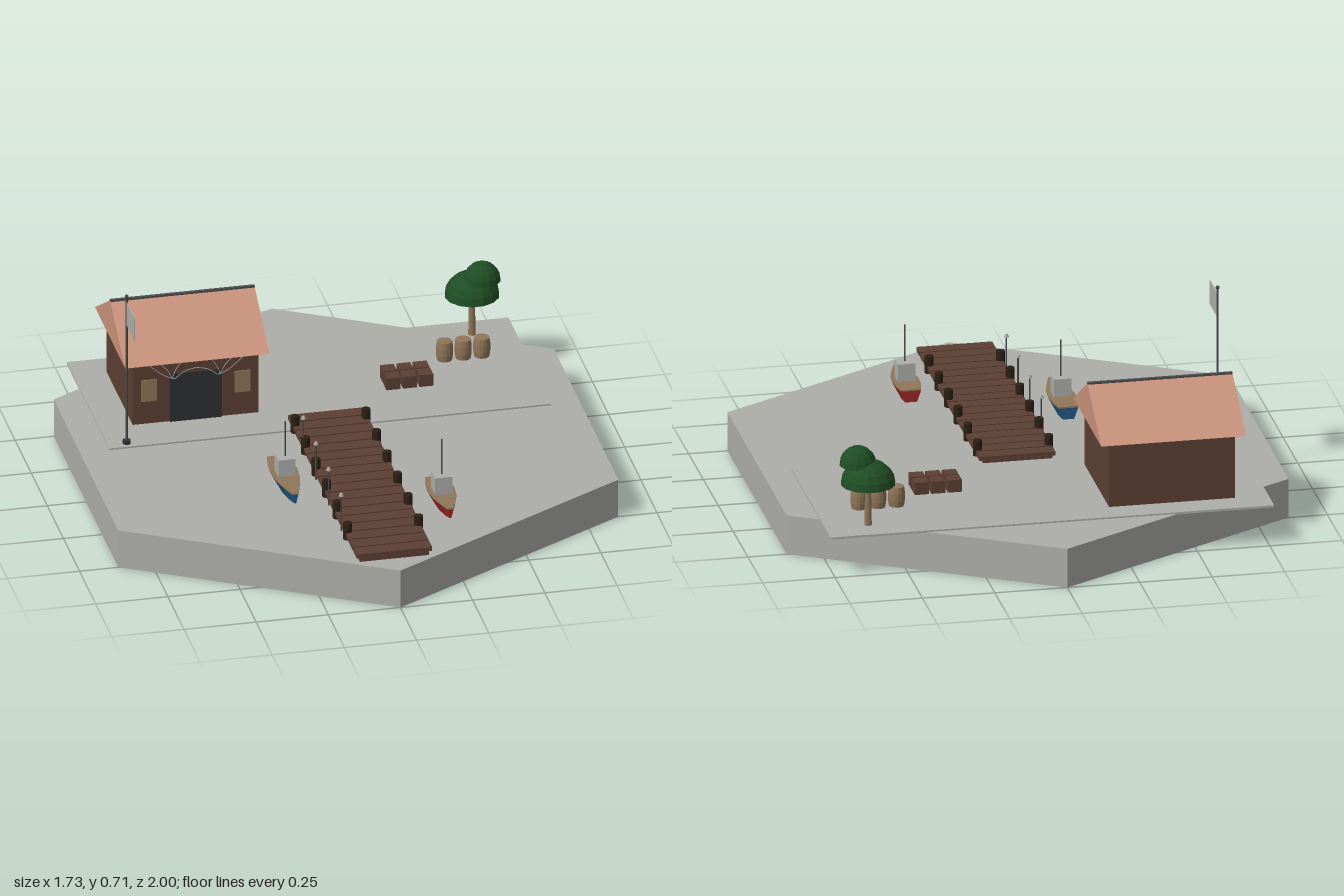
import * as THREE from 'three';

const mat = (name, color, extra = {}) => Object.assign(new THREE.MeshStandardMaterial({ color, ...extra }), { name });
const M = {
  stone: mat('stoneGrey', 0xadaea9),
  timber: mat('timberBrown', 0x5c4033),
  dark: mat('darkTimber', 0x2b2014),
  tan: mat('paleWood', 0x8f7658),
  roof: mat('terracotta', 0xc8927b),
  charcoal: mat('charcoal', 0x2e2f32),
  iron: mat('iron', 0x4a4c4c),
  green: mat('leafGreen', 0x1f4d24),
  blue: mat('hullBlue', 0x1f5a82),
  red: mat('hullRed', 0x9a2626),
};
const GROUND = 0.14, QUAY = 0.146;

function facet(geo) {
  const g = geo.index ? geo.toNonIndexed() : geo;
  g.computeVertexNormals();
  return g;
}

function add(parent, name, geo, material, x = 0, y = 0, z = 0) {
  const m = new THREE.Mesh(geo, material);
  m.name = name;
  m.position.set(x, y, z);
  parent.add(m);
  return m;
}

// Box and post standing on height y
const box = (p, name, material, w, h, d, x, y, z) =>
  add(p, name, new THREE.BoxGeometry(w, h, d), material, x, y + h / 2, z);
const post = (p, name, material, r, h, x, y, z, sides = 10) =>
  add(p, name, new THREE.CylinderGeometry(r, r, h, sides), material, x, y + h / 2, z);

function group(parent, name, x = 0, y = 0, z = 0) {
  const g = new THREE.Group();
  g.name = name;
  g.position.set(x, y, z);
  parent.add(g);
  return g;
}

function buildHouse(root) {
  const g = group(root, 'boathouse', -0.432, QUAY, -0.45);
  box(g, 'walls', M.timber, 0.435, 0.236, 0.41, 0, 0, 0);

  // Solid gabled roof with a ridge strip
  const gable = new THREE.Shape([[-0.235, 0.232], [0.235, 0.232], [0, 0.374]].map(p => new THREE.Vector2(...p)));
  const roof = new THREE.ExtrudeGeometry(gable, { depth: 0.5, bevelEnabled: false });
  roof.rotateY(Math.PI / 2).translate(-0.25, 0, 0);
  add(g, 'roof', roof, M.roof);
  box(g, 'ridgeCap', M.iron, 0.5, 0.008, 0.012, 0, 0.369, 0);

  // Door and windows on the front wall
  box(g, 'door', M.charcoal, 0.18, 0.18, 0.008, 0, 0, 0.207);
  for (const s of [-1, 1]) box(g, 'window', M.tan, 0.055, 0.08, 0.006, s * 0.162, 0.085, 0.206);

  // Netting strung under the eave
  const net = group(g, 'hangingNet', 0, 0, 0.217);
  for (const s of [-1, 1]) {
    const lines = [
      [[0.17, 0.23], [0.11, 0.18], [0.075, 0.165]],
      [[0.075, 0.165], [0.04, 0.19], [0, 0.2]],
      [[0.13, 0.23], [0.1, 0.2], [0.085, 0.17]],
      [[0.05, 0.23], [0.07, 0.2], [0.085, 0.165]],
    ];
    for (const l of lines) {
      const curve = new THREE.CatmullRomCurve3(l.map(([x, y]) => new THREE.Vector3(s * x, y, 0)));
      add(net, 'netLine', new THREE.TubeGeometry(curve, 8, 0.0014, 4), M.stone);
    }
  }
}

function buildDock(root) {
  const g = group(root, 'dock');
  box(g, 'dockBeams', M.timber, 0.24, 0.016, 1.07, 0, GROUND, 0.372);
  const n = 18, pitch = 1.075 / n;
  for (let i = 0; i < n; i++)
    box(g, 'plank', M.timber, 0.262, 0.014, pitch - 0.008, 0, 0.154, -0.165 + pitch * (i + 0.5));

  // Mooring posts along both edges
  for (let i = 0; i < 6; i++)
    for (const s of [-1, 1]) post(g, 'mooringPost', M.dark, 0.015, 0.062, s * 0.123, GROUND, -0.085 + i * 0.163);

  // Lamps on the left-hand edge
  for (let i = 0; i < 4; i++) {
    const z = 0.08 + i * 0.196;
    post(g, 'lampPole', M.iron, 0.003, 0.135, -0.131, GROUND, z, 6);
    add(g, 'lampHead', new THREE.CylinderGeometry(0.005, 0.009, 0.01, 8), M.stone, -0.131, 0.278, z);
  }
}

function buildBoat(root, name, material, x, zStern, length) {
  const g = group(root, name, x, 0, zStern);
  const top = 0.19;
  // Stations from stern to bow: position along, deck half width, keel half width, keel height
  const stations = [
    [0, 0.034, 0.02, 0.15], [0.18, 0.043, 0.024, 0.146], [0.4, 0.047, 0.024, 0.146],
    [0.62, 0.041, 0.02, 0.146], [0.85, 0.024, 0.01, 0.15], [1, 0.01, 0.003, 0.158],
  ];
  const pos = [], idx = [];
  stations.forEach(([t, a, b, y], i) => {
    const z = t * length;
    pos.push(-a, top, z, -b, y, z, b, y, z, a, top, z);
    if (i === stations.length - 1) return;
    for (let j = 0; j < 3; j++) {
      const k = i * 4 + j;
      idx.push(k, k + 1, k + 4, k + 1, k + 5, k + 4);
    }
  });
  const e = (stations.length - 1) * 4;
  idx.push(0, 2, 1, 0, 3, 2, e, e + 1, e + 2, e, e + 2, e + 3);
  const hull = new THREE.BufferGeometry();
  hull.setAttribute('position', new THREE.Float32BufferAttribute(pos, 3));
  hull.setIndex(idx);
  add(g, 'hull', facet(hull), material);

  // Deck follows the hull outline
  const right = stations.map(([t, a]) => new THREE.Vector2(a, t * length));
  const left = stations.map(([t, a]) => new THREE.Vector2(-a, t * length)).reverse();
  const deck = new THREE.ExtrudeGeometry(new THREE.Shape([...right, ...left]), { depth: 0.005, bevelEnabled: false });
  deck.rotateX(Math.PI / 2);
  add(g, 'deck', deck, M.tan, 0, top + 0.005, 0);

  const mid = length * 0.445;
  box(g, 'cabin', M.stone, 0.06, 0.063, 0.06, 0, 0.195, mid);
  post(g, 'mast', M.iron, 0.0025, 0.135, 0, 0.255, mid, 6);
}

function buildTree(root) {
  const g = group(root, 'tree', 0.617, QUAY, -0.655);
  add(g, 'trunk', new THREE.CylinderGeometry(0.009, 0.013, 0.2, 8), M.tan, 0, 0.1, 0);
  for (const [r, h, x, y, z] of [[0.094, 0.085, 0, 0.149, 0], [0.063, 0.066, 0.031, 0.213, 0.02]]) {
    const dome = new THREE.SphereGeometry(r, 14, 5, 0, Math.PI * 2, 0, Math.PI / 2);
    add(g, 'foliage', facet(dome.scale(1, h / r, 1)), M.green, x, y, z);
    add(g, 'foliageUnderside', new THREE.CircleGeometry(r, 14).rotateX(Math.PI / 2), M.green, x, y, z);
  }
}

function buildCargo(root) {
  const g = group(root, 'cargo', 0, QUAY, 0);
  for (let i = 0; i < 3; i++) {
    for (const z of [-0.389, -0.333]) {
      const x = 0.268 + i * 0.057;
      box(g, 'crate', M.timber, 0.048, 0.044, 0.048, x, 0, z);
    }
    // Barrel with a slight bulge
    const profile = [[0, 0], [0.026, 0], [0.029, 0.022], [0.029, 0.048], [0.026, 0.07], [0, 0.07]];
    const barrel = new THREE.LatheGeometry(profile.map(p => new THREE.Vector2(...p)), 14);
    add(g, 'barrel', facet(barrel), M.tan, 0.486 + i * 0.0645, 0, -0.493);
  }
}

function buildFlag(root) {
  const g = group(root, 'flagpole', -0.699, QUAY, -0.117);
  post(g, 'poleBase', M.charcoal, 0.014, 0.012, 0, 0, 0, 12);
  post(g, 'pole', M.iron, 0.004, 0.555, 0, 0, 0, 8);
  add(g, 'poleCap', new THREE.SphereGeometry(0.007, 8, 6), M.iron, 0, 0.556, 0);
  box(g, 'flag', M.stone, 0.003, 0.085, 0.122, 0, 0.45, 0.063);
}

export function createModel() {
  const root = new THREE.Group();
  root.name = 'harbour';

  // Hexagonal base and the thin quay slab lying on it
  add(root, 'hexBase', facet(new THREE.CylinderGeometry(1, 1, GROUND, 6)), M.stone, 0, GROUND / 2, 0);
  box(root, 'quaySlab', M.stone, 1.53, QUAY - GROUND + 0.002, 0.66, 0, GROUND - 0.002, -0.42);

  buildHouse(root);
  buildDock(root);
  buildBoat(root, 'blueBoat', M.blue, -0.245, 0.178, 0.29);
  buildBoat(root, 'redBoat', M.red, 0.243, 0.443, 0.246);
  buildCargo(root);
  buildTree(root);
  buildFlag(root);
  return root;
}
